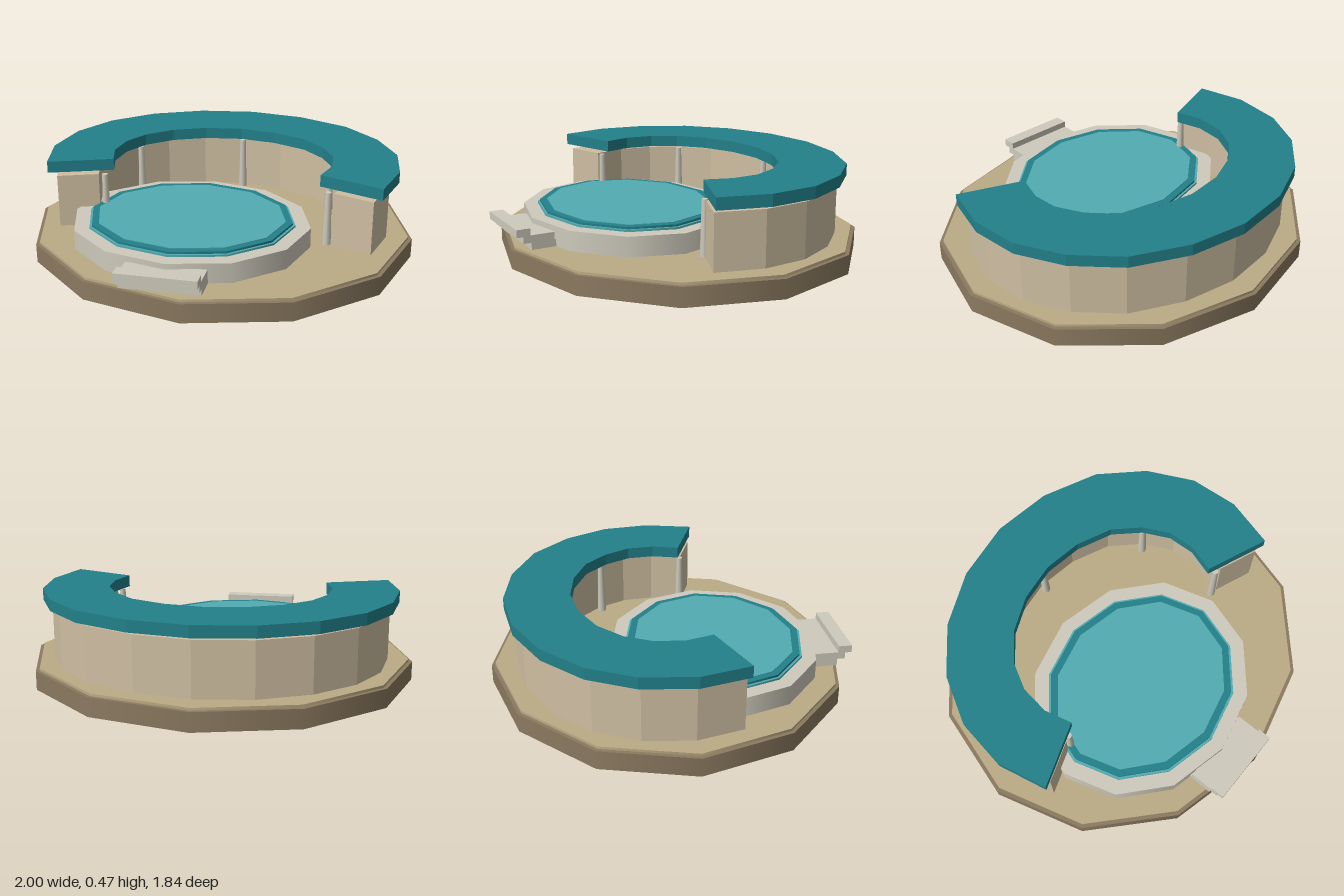
import * as THREE from 'three';

const mat = (color) => new THREE.MeshStandardMaterial({ color });
const EARTH = mat(0x8b7a60), SAND = mat(0xbcac86), WALL = mat(0xcfbfa2);
const STONE = mat(0xcecabc), TEAL = mat(0x22808a), WATER = mat(0x52acb2);

// Centre line of the curved building in plan, as (x, z), from the right end round the back
const PATH = [
  [-0.703, 0.196], [-0.75, 0], [-0.722, -0.208], [-0.626, -0.387], [-0.459, -0.536],
  [-0.238, -0.633], [0.012, -0.665], [0.258, -0.624], [0.485, -0.519], [0.638, -0.36],
  [0.73, -0.176], [0.745, 0.02], [0.69, 0.217],
];

// Point moved outwards from the centre line by d
function offset([x, z], d) {
  const n = new THREE.Vector2(x / 0.5625, z / 0.445).normalize();
  return [x + n.x * d, z + n.y * d];
}

export function createModel() {
  const model = new THREE.Group();
  const add = (name, geometry, material) => {
    const mesh = new THREE.Mesh(geometry, material);
    mesh.name = name;
    model.add(mesh);
    return mesh;
  };

  // Twelve-sided disc, stretched to an oval
  const disc = (name, material, rx, rz, y0, y1, x = 0, z = 0) => {
    const g = new THREE.CylinderGeometry(1, 1, y1 - y0, 12);
    g.scale(rx, 1, rz);
    add(name, g, material).position.set(x, (y0 + y1) / 2, z);
  };

  // Horseshoe band between two offsets of the centre line
  const band = (name, material, inner, outer, y0, y1) => {
    const ring = [
      ...PATH.map((p) => offset(p, outer)),
      ...PATH.map((p) => offset(p, inner)).reverse(),
    ].map(([x, z]) => new THREE.Vector2(x, -z));
    const g = new THREE.ExtrudeGeometry(new THREE.Shape(ring), { depth: y1 - y0, bevelEnabled: false });
    g.rotateX(-Math.PI / 2);
    add(name, g, material).position.y = y0;
  };

  // Ground
  disc('base', EARTH, 1, 0.922, 0, 0.097);
  disc('groundTop', SAND, 0.98, 0.903, 0.09, 0.11);

  // Building
  band('curvedWall', WALL, -0.09, 0.124, 0.108, 0.39);
  band('curvedRoof', TEAL, -0.17, 0.17, 0.41, 0.47);
  for (const i of [0, 3, 6, 9, 12]) {
    const [x, z] = offset(PATH[i], -0.122);
    const column = add('column', new THREE.CylinderGeometry(0.016, 0.023, 0.28, 8), STONE);
    column.position.set(x, 0.25, z);
  }

  // Pool
  disc('poolSurround', STONE, 0.613, 0.538, 0.105, 0.212, -0.11, 0.23);
  disc('poolEdge', WATER, 0.535, 0.465, 0.2, 0.222, -0.11, 0.23);
  disc('poolRim', TEAL, 0.522, 0.453, 0.215, 0.233, -0.11, 0.23);
  disc('water', WATER, 0.487, 0.415, 0.22, 0.236, -0.11, 0.23);

  // Steps: [y0, y1, z0, z1]
  for (const [y0, y1, z0, z1] of [
    [0.108, 0.148, 0.69, 0.848],
    [0.146, 0.184, 0.73, 0.888],
    [0.18, 0.219, 0.852, 0.922],
  ]) {
    const step = add('step', new THREE.BoxGeometry(0.395, y1 - y0, z1 - z0), STONE);
    step.position.set(-0.11, (y0 + y1) / 2, (z0 + z1) / 2);
  }

  return model;
}
